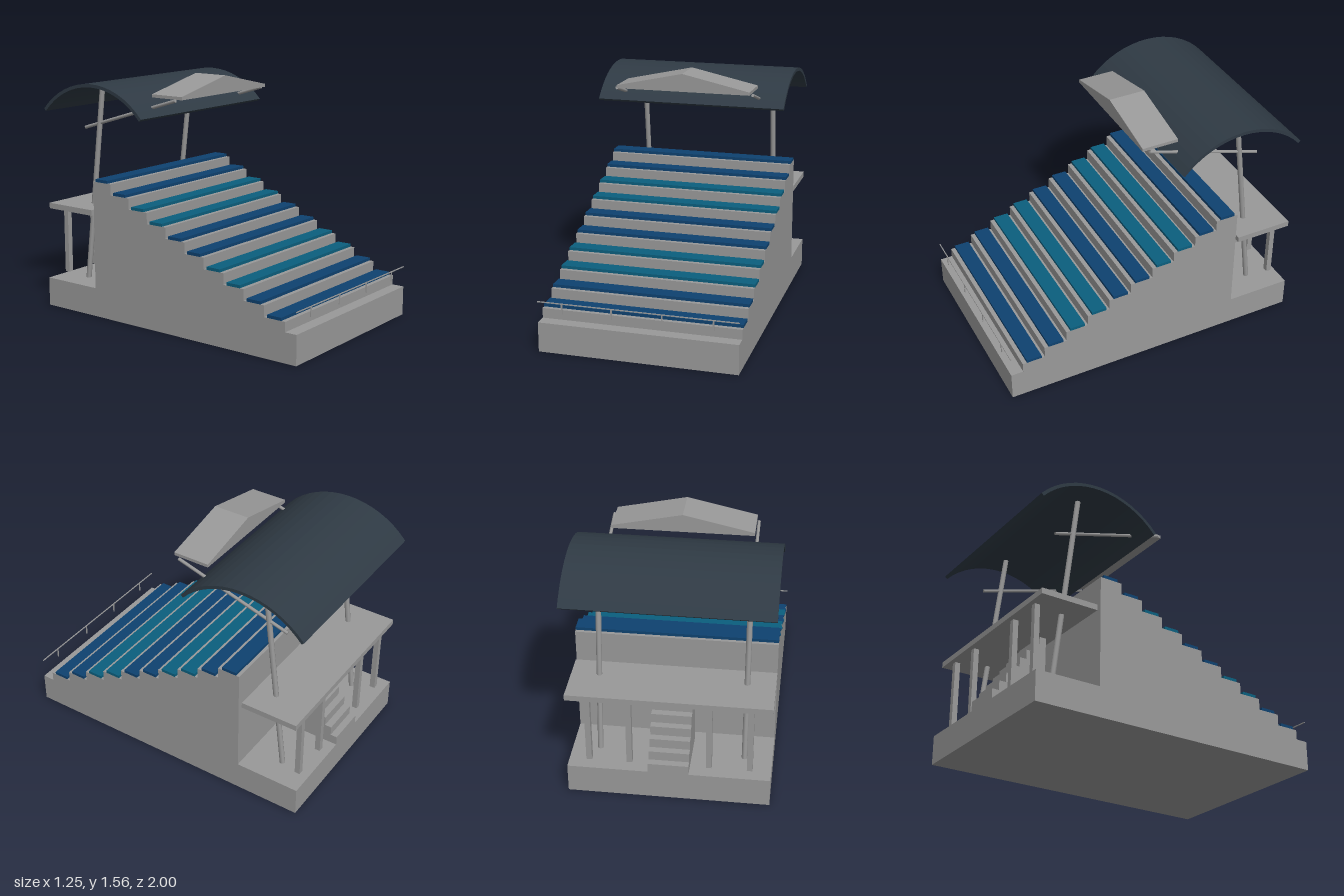
import * as THREE from 'three';

const paint = (name, color) => {
  const m = new THREE.MeshStandardMaterial({ color });
  m.name = name;
  return m;
};

export function createModel() {
  const stand = new THREE.Group();
  stand.name = 'grandstand';

  const concrete = paint('concrete grey', 0x999999);
  const roofMat = paint('dark slate', 0x2f3a44);
  const blue = paint('seat blue', 0x0e4270);
  const teal = paint('seat teal', 0x0b5f7e);

  const add = (name, geometry, material) => {
    const mesh = new THREE.Mesh(geometry, material);
    mesh.name = name;
    stand.add(mesh);
    return mesh;
  };

  // Box given by its limits on each axis
  const box = (name, [x0, x1], [y0, y1], [z0, z1], material) =>
    add(name, new THREE.BoxGeometry(x1 - x0, y1 - y0, z1 - z0), material)
      .position.set((x0 + x1) / 2, (y0 + y1) / 2, (z0 + z1) / 2);

  // Side profile of [z, y] points swept across the width
  const sweep = (name, points, width, material) => {
    const shape = new THREE.Shape(points.map(([z, y]) => new THREE.Vector2(-z, y)));
    const g = new THREE.ExtrudeGeometry(shape, { depth: width, bevelEnabled: false });
    g.translate(0, 0, -width / 2).rotateY(Math.PI / 2);
    return add(name, g, material);
  };

  // Round bar between two points
  const bar = (name, a, b, radius, sides) => {
    const from = new THREE.Vector3(...a), to = new THREE.Vector3(...b);
    const dir = to.clone().sub(from);
    const mesh = add(name, new THREE.CylinderGeometry(radius, radius, dir.length(), sides), concrete);
    mesh.position.copy(from).add(to).multiplyScalar(0.5);
    mesh.quaternion.setFromUnitVectors(new THREE.Vector3(0, 1, 0), dir.normalize());
  };

  const half = 0.625;
  const full = [-half, half];
  const ground = 0.19;

  // Base slab
  box('base', full, [0, ground], [-1, 1], concrete);

  // Stepped terrace with a bench on every tier
  const tiers = 10, tread = 0.1495, rise = 0.0717, front = 0.92;
  const terrace = [[front, ground]];
  for (let i = 0; i < tiers; i++) {
    const z = front - i * tread, y = 0.253 + i * rise;
    terrace.push([z, y], [z - tread, y]);
    box('bench', full, [y, y + 0.019], [z - 0.128, z - 0.028], i % 4 < 2 ? blue : teal);
  }
  terrace.push([front - tiers * tread, ground]);
  sweep('terrace', terrace, 2 * half, concrete);

  // Front railing
  box('handrail', full, [0.32, 0.326], [0.993, 0.999], concrete);
  for (const x of [-0.47, -0.157, 0.157, 0.47]) {
    box('railPost', [x - 0.004, x + 0.004], [0.258, 0.322], [0.993, 0.999], concrete);
  }

  // Rear platform on four posts
  box('rearPlatform', full, [0.67, 0.707], [-0.975, -0.597], concrete);
  for (const x of [-0.495, -0.245, 0.245, 0.495]) {
    box('platformPost', [x - 0.0175, x + 0.0175], [0.218, 0.66], [-0.955, -0.92], concrete);
  }

  // Rear staircase
  const stairs = [[-1, ground]];
  for (let i = 0; i < 8; i++) {
    const z = -1 + i * 0.0443, y = Math.min(ground + (i + 1) * 0.0617, 0.672);
    stairs.push([z, y], [z + 0.0443, y]);
  }
  stairs.push([-1 + 8 * 0.0443, ground]);
  sweep('rearStairs', stairs, 0.25, concrete);

  // Leaning masts and the struts crossing them
  for (const s of [-1, 1]) {
    bar('mast', [s * 0.452, 0.19, -0.797], [s * 0.452, 1.485, -0.638], 0.0175, 8);
    bar('strut', [s * 0.452, 1.442, -0.03], [s * 0.452, 1.208, -0.795], 0.011, 6);
  }

  // Curved roof shell
  const outer = 0.557, shell = 0.021, segments = 16, sweepAngle = 0.848;
  const arc = (r) => Array.from({ length: segments + 1 }, (_, i) => {
    const a = sweepAngle * (1 - 2 * i / segments);
    return [-0.581 + r * Math.sin(a), 1.522 - outer + r * Math.cos(a)];
  });
  sweep('roof', [...arc(outer), ...arc(outer - shell).reverse()], 2 * half, roofMat);

  // Gabled canopy held over the seats
  const gable = new THREE.Shape([
    [-0.44, 1.447], [0.44, 1.447], [0.44, 1.467], [0, 1.563], [-0.44, 1.467],
  ].map((p) => new THREE.Vector2(...p)));
  add('gableCanopy', new THREE.ExtrudeGeometry(gable, { depth: 0.24, bevelEnabled: false }), concrete)
    .position.z = -0.23;

  return stand;
}
